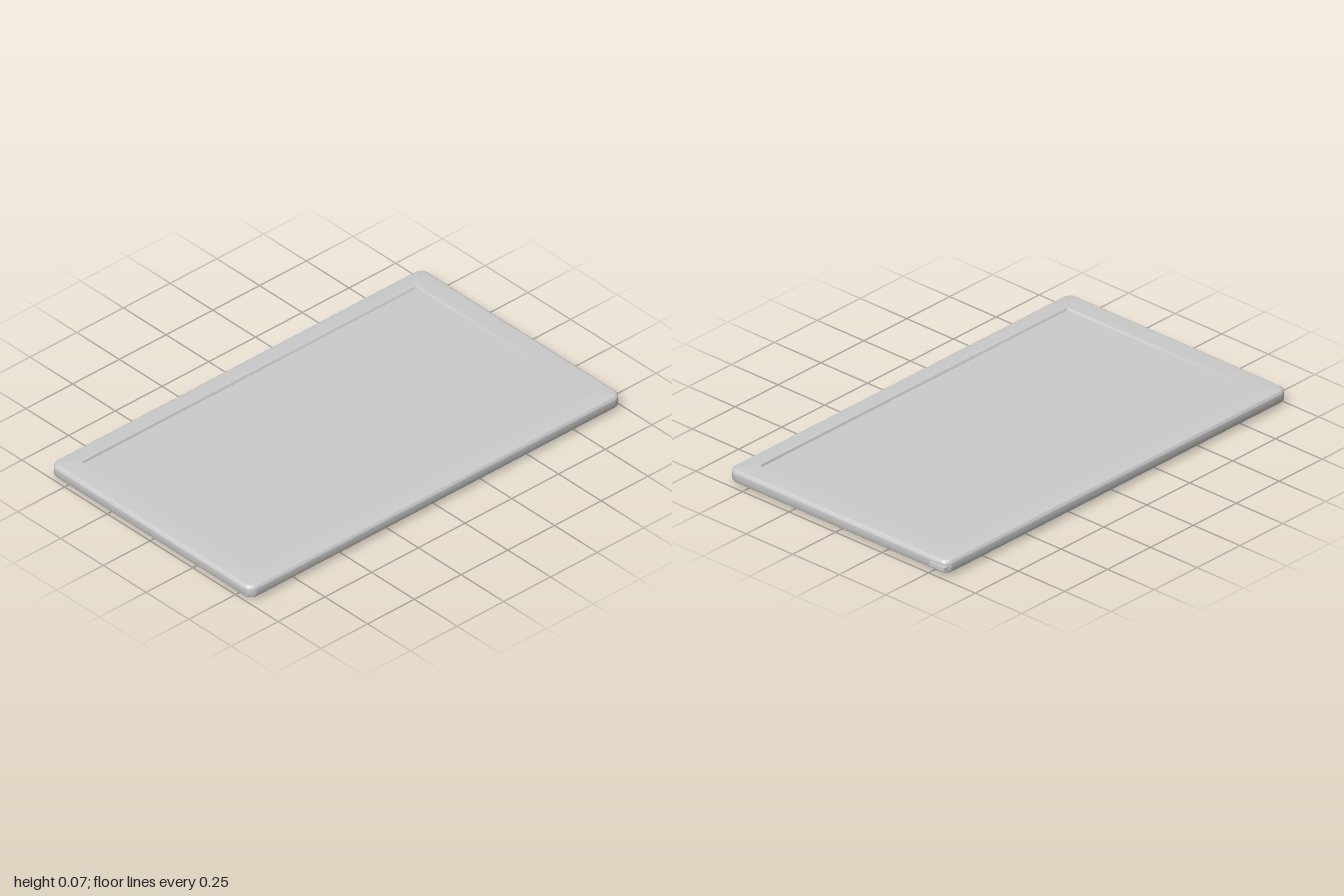
import * as THREE from 'three';
import { toCreasedNormals } from 'three/addons/utils/BufferGeometryUtils.js';

const material = new THREE.MeshStandardMaterial({ color: 0xcccccc });
const CORNER_STEPS = 8;

// Points of a horizontal rounded rectangle at height y
function ring(hx, hz, r, y) {
  const pts = [];
  const corners = [[1, 1], [-1, 1], [-1, -1], [1, -1]];
  corners.forEach(([sx, sz], c) => {
    for (let i = 0; i <= CORNER_STEPS; i++) {
      const a = (c + i / CORNER_STEPS) * Math.PI / 2;
      pts.push([sx * (hx - r) + r * Math.cos(a), y, sz * (hz - r) + r * Math.sin(a)]);
    }
  });
  return pts;
}

// Skin a stack of rings, closed by a flat cap at each end
function loft(rings) {
  const n = rings[0].length, pos = [], index = [];
  rings.forEach(r => r.forEach(p => pos.push(...p)));
  for (let j = 0; j < rings.length - 1; j++) {
    for (let i = 0; i < n; i++) {
      const a = j * n + i, b = j * n + (i + 1) % n;
      index.push(a, a + n, b, b, a + n, b + n);
    }
  }
  const last = (rings.length - 1) * n;
  for (let i = 1; i < n - 1; i++) {
    index.push(0, i, i + 1);
    index.push(last, last + i + 1, last + i);
  }
  const g = new THREE.BufferGeometry();
  g.setAttribute('position', new THREE.Float32BufferAttribute(pos, 3));
  g.setIndex(index);
  return toCreasedNormals(g, 0.6);
}

function add(parent, name, geometry, x, y, z) {
  const mesh = new THREE.Mesh(geometry, material);
  mesh.name = name;
  mesh.position.set(x, y, z);
  parent.add(mesh);
  return mesh;
}

export function createModel() {
  const model = new THREE.Group();
  model.name = 'tablet';

  // Slab with rounded edges, a shallow back inset and a recessed screen
  const HX = 0.995, HZ = 0.588, R = 0.04, BOTTOM = 0.014, TOP = 0.072, E = 0.016;
  const rings = [
    ring(0.895, 0.505, 0.003, BOTTOM + 0.002),
    ring(0.897, 0.507, 0.003, BOTTOM),
  ];
  const edge = (a, yc) => {
    const inset = E * (1 - Math.cos(a));
    rings.push(ring(HX - inset, HZ - inset, R - inset, yc + E * Math.sin(a)));
  };
  for (let i = 0; i <= 6; i++) edge((i / 6 - 1) * Math.PI / 2, BOTTOM + E);
  for (let i = 0; i <= 6; i++) edge((i / 6) * Math.PI / 2, TOP - E);
  rings.push(ring(0.897, 0.507, 0.003, TOP));
  rings.push(ring(0.893, 0.503, 0.003, TOP - 0.01));
  add(model, 'bodyWithScreen', loft(rings), -0.005, 0, 0);

  // Three camera lenses on the back
  const lens = toCreasedNormals(new THREE.CylinderGeometry(0.053, 0.053, 0.02, 32), 0.6);
  [[-0.8, -0.405], [-0.59, -0.405], [-0.7, -0.24]].forEach(([x, z], i) =>
    add(model, `cameraLens${i + 1}`, lens, x, 0.01, z));

  // Side button near the back corner
  add(model, 'sideButton', new THREE.BoxGeometry(0.02, 0.016, 0.078), 0.99, 0.042, -0.545);

  return model;
}
